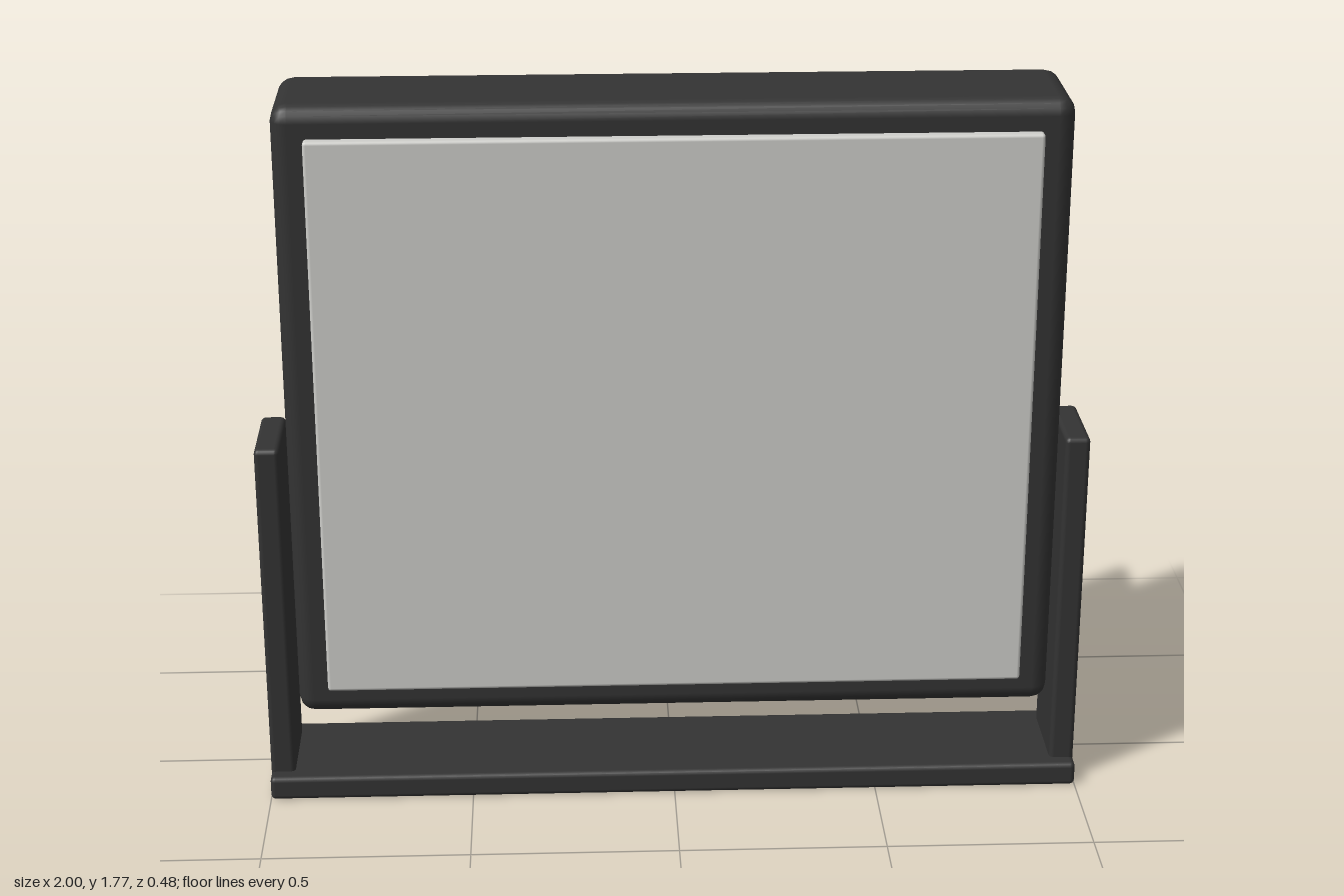
import * as THREE from 'three';
import { RoundedBoxGeometry } from 'three/addons/geometries/RoundedBoxGeometry.js';

export function createModel() {
  const model = new THREE.Group();
  model.name = 'floodlight';

  const darkMetal = new THREE.MeshStandardMaterial({ color: 0x333333 });
  darkMetal.name = 'darkMetal';
  const paleGlass = new THREE.MeshStandardMaterial({ color: 0xcfcfcb });
  paleGlass.name = 'paleGlass';

  // Box given by its min and max corners, with optional rounded edges
  function addBox(name, material, min, max, radius = 0, parent = model) {
    const [w, h, d] = max.map((v, i) => v - min[i]);
    const geometry = radius
      ? new RoundedBoxGeometry(w, h, d, 2, radius)
      : new THREE.BoxGeometry(w, h, d);
    const mesh = new THREE.Mesh(geometry, material);
    mesh.name = name;
    mesh.position.set(...max.map((v, i) => (v + min[i]) / 2));
    parent.add(mesh);
    return mesh;
  }

  // Lamp housing and the glass plate standing proud of its front
  addBox('housing', darkMetal, [-0.92, 0.235, -0.085], [0.92, 1.77, 0.215], 0.04);
  addBox('glass', paleGlass, [-0.845, 0.31, 0.18], [0.845, 1.695, 0.24], 0.008);

  // Row of vertical cooling fins on the back
  const fins = new THREE.Group();
  fins.name = 'coolingFins';
  model.add(fins);
  const finCount = 9;
  for (let i = 0; i < finCount; i++) {
    const x = -0.77 + (i * 1.54) / (finCount - 1);
    addBox('coolingFin', darkMetal, [x - 0.015, 0.31, -0.24], [x + 0.015, 1.695, -0.07], 0, fins);
  }

  // U-shaped mounting bracket
  const bracket = new THREE.Group();
  bracket.name = 'bracket';
  model.add(bracket);
  addBox('bracketBase', darkMetal, [-1, 0, -0.085], [1, 0.06, 0.215], 0.012, bracket);
  for (const side of [-1, 1]) {
    const arm = addBox('bracketArm', darkMetal, [0.94, 0.03, -0.048], [1, 0.92, 0.178], 0.012, bracket);
    arm.position.x *= side;
  }

  return model;
}
